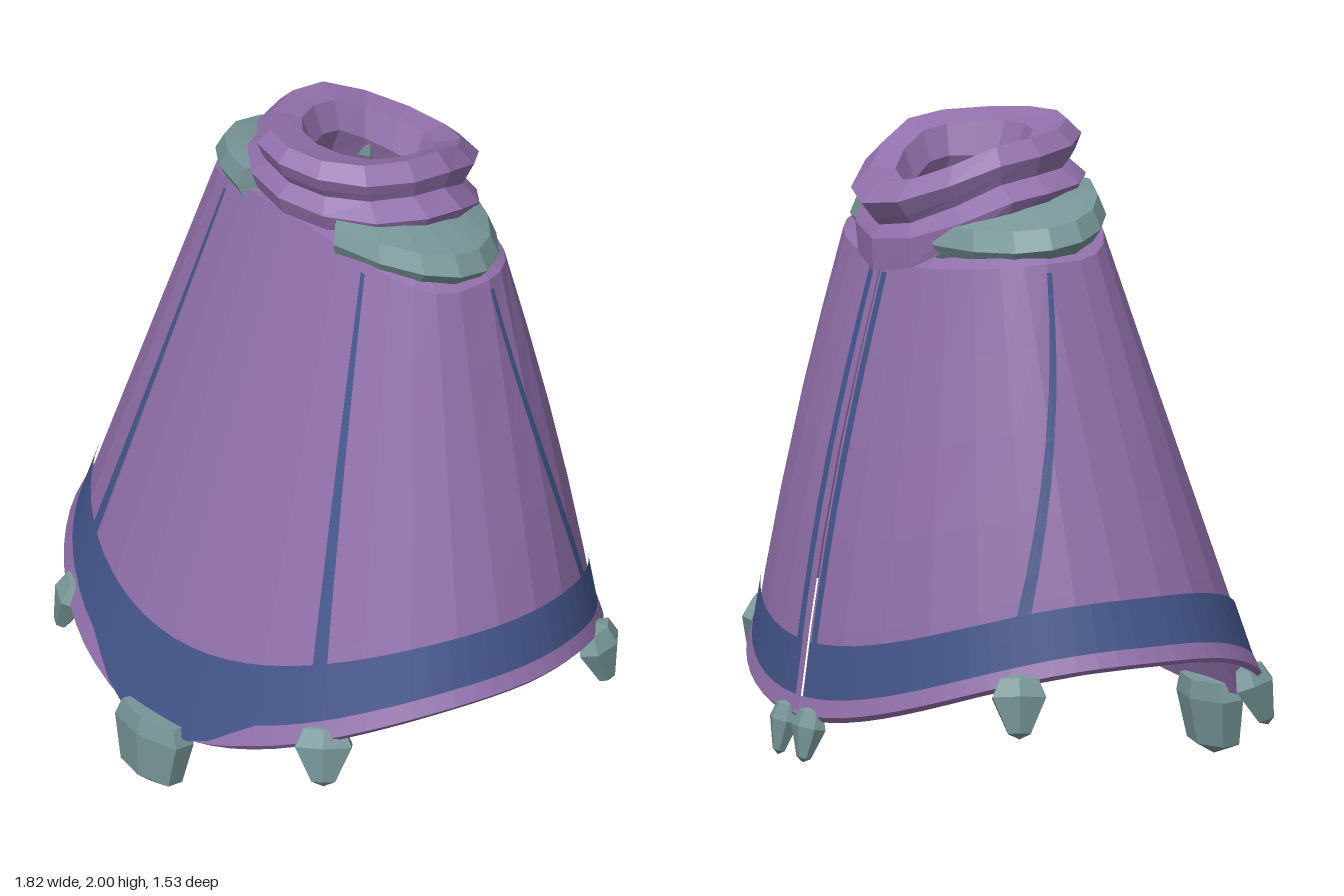
import * as THREE from 'three';

const PI = Math.PI, SLIT = 0.006;
const START = -PI / 2 + SLIT, END = 1.5 * PI - SLIT; // right around, starting and ending at the back slit
const lerp = (a, b, t) => a + (b - a) * t;
const spow = (s, p) => Math.sign(s) * Math.pow(Math.abs(s), p);

// Faceted grid from a function of (u, v) in 0..1; faces outward when u runs +x to +z and v runs up
function surface(f, nu, nv) {
  const pos = [], idx = [];
  for (let j = 0; j <= nv; j++)
    for (let i = 0; i <= nu; i++) pos.push(...f(i / nu, j / nv));
  for (let j = 0; j < nv; j++)
    for (let i = 0; i < nu; i++) {
      const a = j * (nu + 1) + i, b = a + nu + 1;
      idx.push(a, b, a + 1, a + 1, b, b + 1);
    }
  const g = new THREE.BufferGeometry();
  g.setAttribute('position', new THREE.Float32BufferAttribute(pos, 3));
  g.setIndex(idx);
  return facet(g);
}
function facet(g) {
  const flat = g.toNonIndexed();
  flat.computeVertexNormals();
  return flat;
}

// Cloak surface: straight sweep from the dipping hem (t = 0) to the shoulder line (t = 1)
function cloak(th, t, off = 0) {
  const c = Math.cos(th), s = Math.sin(th), front = s > 0;
  const hemY = 0.475 - (front ? 0.28 : 0.235) * Math.pow(Math.abs(s), 2.5);
  const topY = 1.65 + (front ? 0.12 : -0.05) * s * s;
  const hemZ = (front ? 0.70 : 0.715) * s;
  const topZ = -0.13 + 0.3 * spow(s, front ? 0.6 : 0.92);
  const bulge = off + (front ? 0 : 0.03 * -s * Math.sin(PI * t));
  return [
    lerp(0.895, 0.53, t) * c + bulge * c,
    lerp(hemY, topY, t),
    lerp(hemZ, topZ, t) + bulge * s,
  ];
}
// Share of the hem margin left at an angle: full around the sides, none at the front centre
const margin = (th) => 1 - Math.min(Math.max((Math.sin(th) - 0.92) / 0.06, 0), 1);

// Collar rings: half width, front z, back z, then height at front, side and back
const COLLAR = [
  [0.30, 0.13, -0.40, 1.77, 1.80, 1.59],
  [0.36, 0.19, -0.46, 1.78, 1.79, 1.57],
  [0.38, 0.21, -0.465, 1.84, 1.83, 1.67],
  [0.30, 0.17, -0.44, 1.88, 1.87, 1.71],
  [0.31, 0.19, -0.46, 1.91, 1.90, 1.73],
  [0.32, 0.21, -0.50, 1.96, 1.93, 1.78],
  [0.27, 0.17, -0.44, 2.00, 1.98, 1.84],
  [0.20, 0.06, -0.36, 1.97, 1.95, 1.84],
  [0.17, 0.02, -0.32, 1.86, 1.86, 1.75],
  [0.22, 0.05, -0.35, 1.75, 1.75, 1.62],
];
function collarRing(th, [rx, zf, zb, yf, ym, yb]) {
  const c = Math.cos(th), s = Math.sin(th), a = Math.abs(s), mid = -0.14;
  return s > 0
    ? [rx * c, lerp(ym, yf, a * a), lerp(mid, zf, a)]
    : [rx * c, lerp(ym, yb, Math.pow(a, 1.5)), lerp(mid, zb, Math.pow(a, 1.2))];
}

// Shoulder guard cross-section: radius and height, running up the outside and back underneath
const GUARD = [[0.5, 1.65], [0.545, 1.7], [0.51, 1.76], [0.3, 1.81], [0.3, 1.74], [0.5, 1.65]];
function guard(centre) {
  const n = 9;
  return surface((u, v) => {
    const i = Math.round(u * n), k = Math.min(Math.max(i - 1, 0), n - 2) / (n - 2);
    const th = centre + lerp(-1.15, 1.15, k);
    let [r, y] = GUARD[Math.round(v * 5)];
    if (i === 0 || i === n) [r, y] = [0.42, 1.73]; // closed ends
    const z = r * 0.57 * Math.sin(th);
    return [r * Math.cos(th), y + 0.16 * z + 0.04 * (1 - Math.abs(Math.cos(th))), z - 0.1];
  }, n, 5);
}

export function createModel() {
  const model = new THREE.Group();
  const mat = (name, color, side = THREE.FrontSide) => {
    const m = new THREE.MeshStandardMaterial({ color, side });
    m.name = name;
    return m;
  };
  const purple = mat('purple cloth', 0x9170ab, THREE.DoubleSide);
  const blue = mat('blue trim', 0x43558a);
  const stone = mat('grey green stone', 0x789799);
  const add = (name, geo, material) => {
    const m = new THREE.Mesh(geo, material);
    m.name = name;
    model.add(m);
    return m;
  };

  // Cloth: body, shoulder slope and rolled collar
  add('cloakBody', surface((u, v) => cloak(lerp(START, END, u), v), 30, 5), purple);
  add('shoulderSlope', surface((u, v) => {
    const th = lerp(START, END, u), a = cloak(th, 1), b = collarRing(th, COLLAR[0]);
    return a.map((p, i) => lerp(p, b[i], v));
  }, 30, 1), purple);
  add('collar', surface((u, v) =>
    collarRing(-PI / 2 + 2 * PI * u, COLLAR[Math.round(v * 9)]), 14, 9), purple);

  // Rolled hem edge, and the band above it that reaches the edge at the front
  const hemRoll = [[0, 0], [0.012, 0.017], [0.05, 0.01]];
  add('hemEdge', surface((u, v) => {
    const th = lerp(START, END, u), [t, off] = hemRoll[Math.round(v * 2)];
    return cloak(th, t * margin(th), off * margin(th));
  }, 72, 2), purple);
  add('hemBand', surface((u, v) => {
    const th = lerp(START + 0.02, END - 0.02, u);
    return cloak(th, lerp(0.05 * margin(th), 0.17, v), 0.008);
  }, 72, 2), blue);

  // Narrow seams: angle at hem, angle at top, half width at hem and top
  const seams = [
    ['frontSeam', 0.91, 0.95, 0.03, 0.015],
    ['sideSeam', -0.54, -0.1, 0.03, 0.022],
    ['backSeam', -PI / 2 + 0.05, -PI / 2 + 0.07, 0.018, 0.026],
  ];
  for (const [name, a0, a1, w0, w1] of seams)
    for (const side of [1, -1])
      add(name, surface((u, v) => {
        const a = lerp(a0, a1, v), w = lerp(w0, w1, v) * (2 * u - 1);
        return cloak((side > 0 ? a : PI - a) + w, lerp(0.16, 0.98, v), 0.007);
      }, 2, 8), blue);

  // Stone shoulder guards
  add('leftShoulderGuard', guard(0), stone);
  add('rightShoulderGuard', guard(PI), stone);

  // Stone weights hanging from the hem, leaning with the cloth
  const stoneShape = (points) =>
    facet(new THREE.LatheGeometry(points.map(([r, y]) => new THREE.Vector2(r, y)), 6));
  const block = stoneShape([[0, 0], [0.78, 0.16], [1, 0.76], [0.85, 1], [0, 1]]);
  const shard = stoneShape([[0, 0], [0.42, 0.08], [1, 0.62], [0.72, 0.9], [0, 1]]);
  const weight = (name, geo, x, y, z, w, h, d, lean) => {
    const m = add(name, geo, stone);
    m.scale.set(w / 1.732, h, d / 2);
    m.position.set(x, y, z);
    m.rotation.set(-lean, Math.atan2(x, z), 0, 'YXZ');
  };
  weight('frontWeight', block, 0, 0, 0.71, 0.28, 0.235, 0.14, 0.08);
  for (const s of [1, -1]) {
    weight('frontSideWeight', shard, s * 0.605, 0.2, 0.55, 0.17, 0.2, 0.12, 0.35);
    weight('backSideWeight', shard, s * 0.79, 0.275, -0.41, 0.16, 0.2, 0.12, 0.25);
    weight('backWeight', shard, s * 0.075, 0.12, -0.745, 0.12, 0.17, 0.08, 0.2);
  }
  return model;
}
